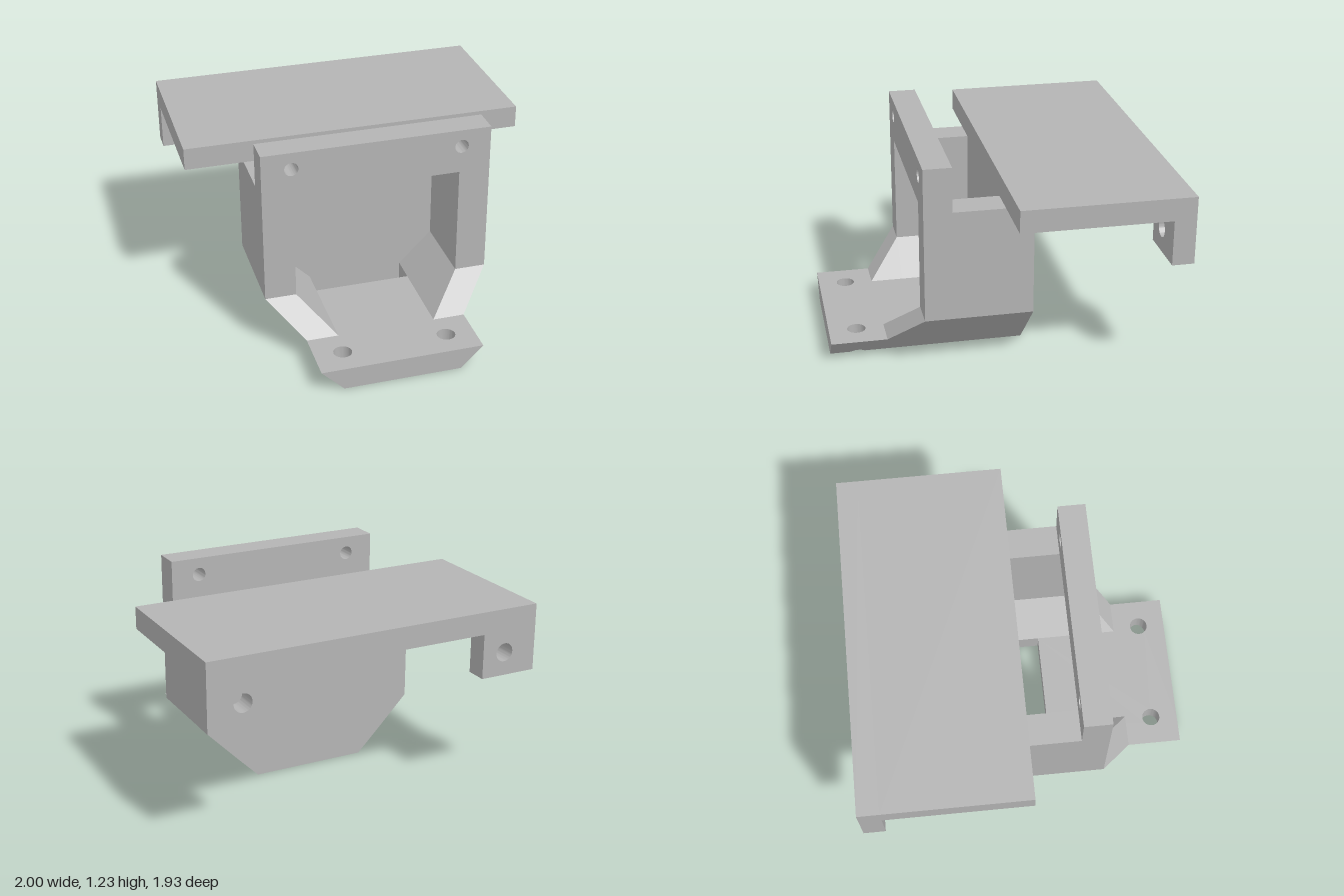
import * as THREE from 'three';
import { toCreasedNormals } from 'three/addons/utils/BufferGeometryUtils.js';

const grey = new THREE.MeshStandardMaterial({ color: 0xb4b4b4 });
grey.name = 'plain grey';

const toShape = (pts) => new THREE.Shape(pts.map(([x, y]) => new THREE.Vector2(x, y)));
const mirror = (pts, s) => pts.map(([x, y]) => [s * x, y]);

function addHoles(shape, x, y, r) {
  for (const s of [-1, 1]) {
    const hole = new THREE.Path();
    hole.absarc(s * x, y, r, 0, Math.PI * 2, true);
    shape.holes.push(hole);
  }
  return shape;
}

function arc(cx, cy, r, a0, a1, n) {
  return Array.from({ length: n + 1 }, (_, i) => {
    const a = a0 + ((a1 - a0) * i) / n;
    return [cx + r * Math.cos(a), cy + r * Math.sin(a)];
  });
}

// Extrudes a front outline from z0 to z1
function prism(shape, z0, z1) {
  const g = new THREE.ExtrudeGeometry(shape, { depth: z1 - z0, bevelEnabled: false, curveSegments: 24 });
  return g.translate(0, 0, z0);
}

// Moves each vertex by a rule
function reshape(g, rule) {
  const p = g.attributes.position;
  const v = new THREE.Vector3();
  for (let i = 0; i < p.count; i++) {
    v.fromBufferAttribute(p, i);
    rule(v);
    p.setXYZ(i, v.x, v.y, v.z);
  }
  g.computeVertexNormals();
  return g;
}

export function createModel() {
  const model = new THREE.Group();
  const add = (parent, name, g) => {
    const mesh = new THREE.Mesh(toCreasedNormals(g, 0.5), grey);
    mesh.name = name;
    parent.add(mesh);
  };

  const housing = new THREE.Group();
  housing.name = 'housing';
  const hanger = new THREE.Group();
  hanger.name = 'hanger';
  model.add(housing, hanger);

  const BACK = -0.16, FRONT = 0.455, TOE = 0.965;
  const FLOOR = 0.13, BEND = 0.325, TOP = 0.97;
  const BASE = 0.34, R = 0.053, HX = 0.305, HZ = 0.805;

  // Floor: plan outlines (x, -z) laid flat, split where the underside chamfer starts
  const open = Math.acos((BASE - HX) / R);
  const notch = arc(HX, -HZ, R, -open, open - Math.PI * 2, 28);
  const centre = toShape([
    [-BASE, -TOE], [BASE, -TOE], ...notch, [BASE, -BACK], [-BASE, -BACK],
    ...mirror(notch, -1).reverse(),
  ]);
  const slot = new THREE.Path();
  slot.setFromPoints([[-0.285, 0], [0.285, 0], [0.285, -0.16], [-0.285, -0.16]]
    .map(([x, y]) => new THREE.Vector2(x, y)));
  centre.holes.push(slot);
  add(housing, 'floor', prism(centre, 0, FLOOR).rotateX(-Math.PI / 2));

  const edge = [
    [BASE, -TOE], [0.47, -TOE], [0.47, -BACK], [BASE, -BACK],
    ...arc(HX, -HZ, R, open, -open, 12),
  ];

  // Side wall section and the sloping foot in front of it
  const wall = [
    [0.285, FLOOR], [0.47, FLOOR], [0.66, BEND], [0.66, TOP], [0.48, TOP], [0.48, BEND],
  ];
  const foot = [[0.285, FLOOR], [0.47, FLOOR], [0.66, BEND], [0.48, BEND]];

  for (const s of [-1, 1]) {
    const side = s > 0 ? 'left' : 'right';
    const strip = prism(toShape(mirror(edge, s)), 0, FLOOR).rotateX(-Math.PI / 2);
    add(housing, side + 'FloorChamfer', reshape(strip, (v) => {
      if (v.y < 0.01) v.y = Math.max(0, Math.abs(v.x) - BASE);
    }));
    add(housing, side + 'Wall', prism(toShape(mirror(wall, s)), 0, FRONT));
    add(housing, side + 'Ramp', reshape(prism(toShape(mirror(foot, s)), FRONT, 0.645), (v) => {
      if (v.y > 0.2) v.z = FRONT;
    }));
  }

  // Back wall
  add(housing, 'backWall', prism(toShape([
    [-0.47, FLOOR], [0.47, FLOOR], [0.66, BEND], [0.66, TOP], [-0.66, TOP], [-0.66, BEND],
  ]), BACK, 0));

  // Drilled flange bridging the front opening
  const flange = toShape([[-0.66, TOP], [0.66, TOP], [0.66, 1.23], [-0.66, 1.23]]);
  add(housing, 'frontFlange', prism(addHoles(flange, 0.49, 1.13, 0.04), 0.295, FRONT));

  // Top plate, and the drilled rear face with its two lugs
  const plate = toShape([[-1, TOP], [1, TOP], [1, 1.1], [-1, 1.1]]);
  add(hanger, 'topPlate', prism(plate, -0.84, 0));
  const rear = toShape([
    [-1, 0.71], [-0.66, 0.71], [-0.66, TOP], [0.66, TOP],
    [0.66, 0.71], [1, 0.71], [1, 1.1], [-1, 1.1],
  ]);
  add(hanger, 'rearLugs', prism(addHoles(rear, 0.8, 0.845, R), -TOE, -0.84));

  return model;
}
